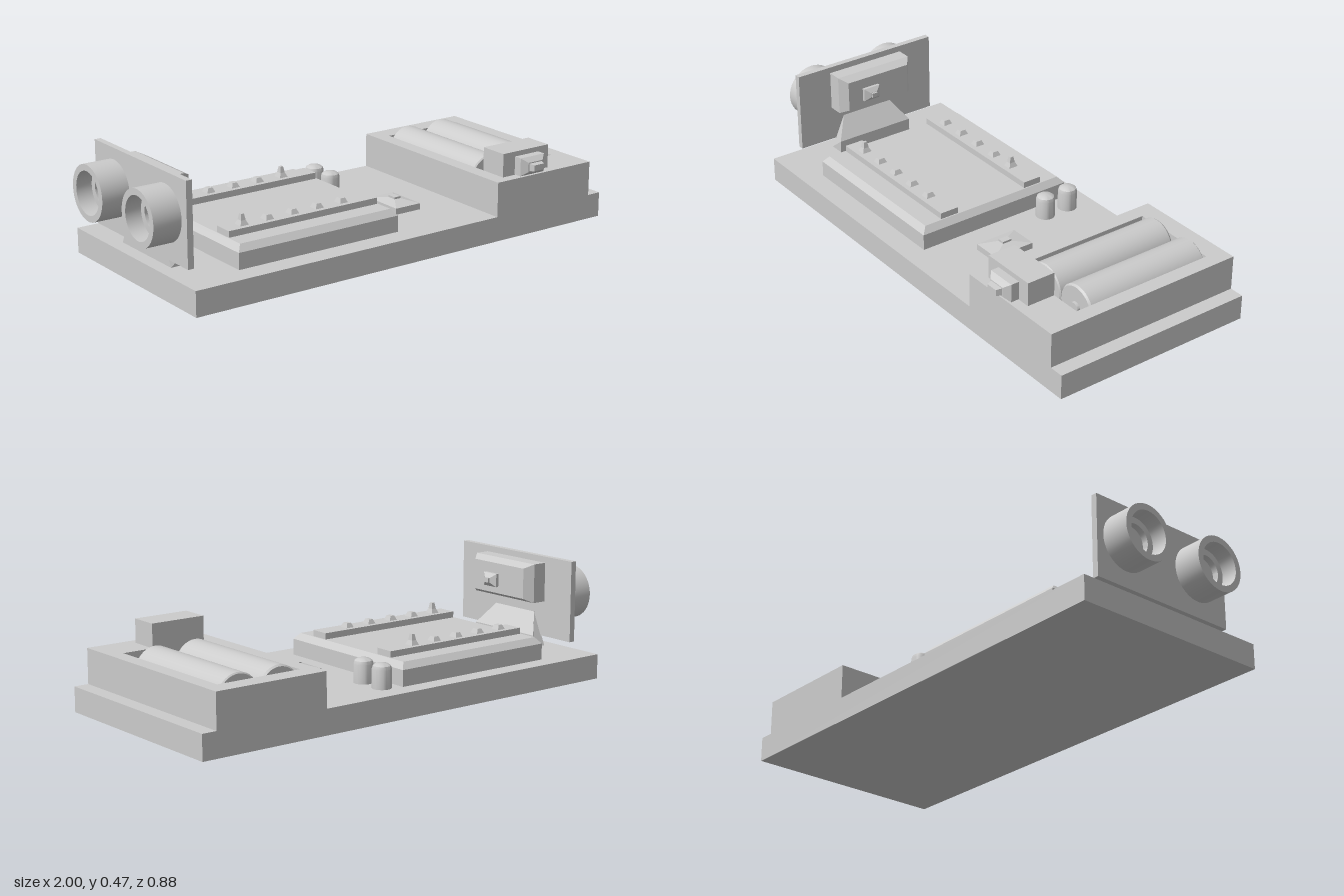
import * as THREE from 'three';
import { toCreasedNormals } from 'three/addons/utils/BufferGeometryUtils.js';

const flat = new THREE.MeshStandardMaterial({ color: 0xcccccc, flatShading: true });
const smooth = new THREE.MeshStandardMaterial({ color: 0xcccccc });

function add(parent, name, geometry, x, y, z, material = flat) {
  const mesh = new THREE.Mesh(geometry, material);
  mesh.name = name;
  mesh.position.set(x, y, z);
  parent.add(mesh);
  return mesh;
}

// Box given by its limits on each axis
function block(parent, name, x0, x1, y0, y1, z0, z1) {
  return add(parent, name, new THREE.BoxGeometry(x1 - x0, y1 - y0, z1 - z0),
    (x0 + x1) / 2, (y0 + y1) / 2, (z0 + z1) / 2);
}

// Box standing on y = 0 whose top is resized to topW x topD
function frustum(w, h, d, topW, topD) {
  const g = new THREE.BoxGeometry(w, h, d).translate(0, h / 2, 0);
  const p = g.attributes.position;
  for (let i = 0; i < p.count; i++) {
    if (p.getY(i) > h / 2) p.setXYZ(i, Math.sign(p.getX(i)) * topW / 2, h, Math.sign(p.getZ(i)) * topD / 2);
  }
  g.computeVertexNormals();
  return g;
}

function lathe(points, segments = 32) {
  const g = new THREE.LatheGeometry(points.map(([r, y]) => new THREE.Vector2(r, y)), segments);
  return toCreasedNormals(g, 0.6);
}

function createSensor() {
  const sensor = new THREE.Group();
  sensor.name = 'distanceSensor';
  block(sensor, 'sensorPlate', -0.885, -0.86, 0.14, 0.47, -0.34, 0.305);

  // Two hollow eyes facing -x
  const eye = lathe([[0.11, 0], [0.11, 0.115], [0.085, 0.115], [0.085, 0.05],
    [0.06, 0.05], [0.06, 0.025], [0, 0.025]], 40).rotateZ(Math.PI / 2);
  for (const z of [-0.2, 0.16]) add(sensor, 'sensorEye', eye, -0.885, 0.315, z, smooth);

  // Bevelled housing and knob facing +x
  const housing = new THREE.Group();
  housing.name = 'sensorHousing';
  housing.position.set(-0.86, 0.365, -0.0175);
  housing.rotation.z = -Math.PI / 2;
  add(housing, 'housingBody', new THREE.BoxGeometry(0.16, 0.06, 0.345), 0, 0.03, 0);
  add(housing, 'housingBevel', frustum(0.16, 0.035, 0.345, 0.125, 0.29), 0, 0.06, 0);
  add(housing, 'knobBase', new THREE.BoxGeometry(0.055, 0.012, 0.075), 0.008, 0.101, 0.04);
  add(housing, 'knobTaper', frustum(0.055, 0.015, 0.075, 0.02, 0.03), 0.008, 0.107, 0.04);
  add(housing, 'knobTip', new THREE.BoxGeometry(0.018, 0.008, 0.024), 0.008, 0.126, 0.04);
  sensor.add(housing);

  // Wedge foot: its back stays upright, its front and ends slope
  const foot = new THREE.BoxGeometry(0.065, 0.14, 0.345);
  const p = foot.attributes.position;
  for (let i = 0; i < p.count; i++) {
    const top = p.getY(i) > 0;
    if (p.getX(i) > 0) p.setY(i, top ? -0.02 : -0.07);
    else if (top) p.setZ(i, Math.sign(p.getZ(i)) * 0.11);
  }
  foot.computeVertexNormals();
  add(sensor, 'sensorFoot', foot, -0.8325, 0.17, -0.0175);
  return sensor;
}

function createBoard() {
  const board = new THREE.Group();
  board.name = 'controllerBoard';
  block(board, 'boardBody', -0.68, 0.04, 0.1, 0.165, -0.365, 0.32);
  add(board, 'boardBevel', frustum(0.72, 0.025, 0.685, 0.68, 0.64), -0.32, 0.165, -0.0225);
  // Pin strips, each with one taller pin
  [[-0.222, 4], [0.18, 0]].forEach(([z, tall]) => {
    block(board, 'pinStrip', -0.657, 0.015, 0.185, 0.215, z - 0.04, z + 0.04);
    for (let i = 0; i < 5; i++) {
      const x = -0.575 + i * 0.1125;
      add(board, 'pin', frustum(0.036, 0.018, 0.04, 0.02, 0.024), x, 0.215, z);
      if (i === tall) add(board, 'tallPin', frustum(0.02, 0.024, 0.024, 0.012, 0.014), x, 0.233, z);
    }
  });
  return board;
}

function createBatteryBox() {
  const box = new THREE.Group();
  box.name = 'batteryBox';

  // Open tray, drawn in plan with shape y = -z
  const tray = new THREE.Shape([[0.46, -0.41], [0.94, -0.41], [0.94, 0.44], [0.46, 0.44]]
    .map(([x, y]) => new THREE.Vector2(x, y)));
  tray.holes.push(new THREE.Path([[0.52, -0.25], [0.52, 0.36], [0.88, 0.36], [0.88, -0.25]]
    .map(([x, y]) => new THREE.Vector2(x, y))));
  const trayGeo = new THREE.ExtrudeGeometry(tray, { depth: 0.14, bevelEnabled: false }).rotateX(-Math.PI / 2);
  add(box, 'batteryTray', trayGeo, 0, 0.1, 0);

  // Two cells laid in opposite directions
  const cell = lathe([[0, -0.27], [0.085, -0.27], [0.09, -0.265], [0.09, 0.262], [0.084, 0.27],
    [0.025, 0.27], [0.025, 0.282], [0, 0.282]], 40).rotateX(Math.PI / 2);
  add(box, 'batteryCell', cell, 0.79, 0.18, -0.09, smooth);
  add(box, 'batteryCell', cell, 0.61, 0.18, -0.09, smooth).rotation.y = Math.PI;

  // Power switch with its lever facing +z
  block(box, 'switchBody', 0.52, 0.752, 0.24, 0.335, 0.25, 0.368);
  block(box, 'switchCollar', 0.58, 0.7, 0.242, 0.315, 0.368, 0.402);
  const lever = new THREE.Group();
  lever.name = 'switchLever';
  lever.position.set(0.64, 0.2785, 0.402);
  lever.rotation.x = Math.PI / 2;
  add(lever, 'leverTaper', frustum(0.12, 0.02, 0.073, 0.072, 0.038), 0, 0, 0);
  add(lever, 'leverTip', frustum(0.064, 0.022, 0.03, 0.05, 0.024), 0, 0.02, 0);
  box.add(lever);
  return box;
}

export function createModel() {
  const model = new THREE.Group();
  model.name = 'sensorCircuitKit';
  block(model, 'basePlate', -0.92, 1, 0, 0.1, -0.44, 0.41);
  model.add(createSensor(), createBoard(), createBatteryBox());

  // Round-topped capacitors
  const capacitor = lathe([[0.038, 0], [0.038, 0.075], [0.034, 0.087], [0.024, 0.094], [0, 0.097]], 24);
  for (const z of [-0.325, -0.215]) add(model, 'capacitor', capacitor, 0.11, 0.1, z, smooth);

  // Low push button
  block(model, 'buttonBody', 0.16, 0.278, 0.1, 0.125, -0.022, 0.155);
  add(model, 'buttonSlope', frustum(0.118, 0.012, 0.177, 0.028, 0.04), 0.219, 0.125, 0.0665);
  add(model, 'buttonCap', new THREE.BoxGeometry(0.028, 0.008, 0.04), 0.219, 0.141, 0.0665);
  return model;
}
